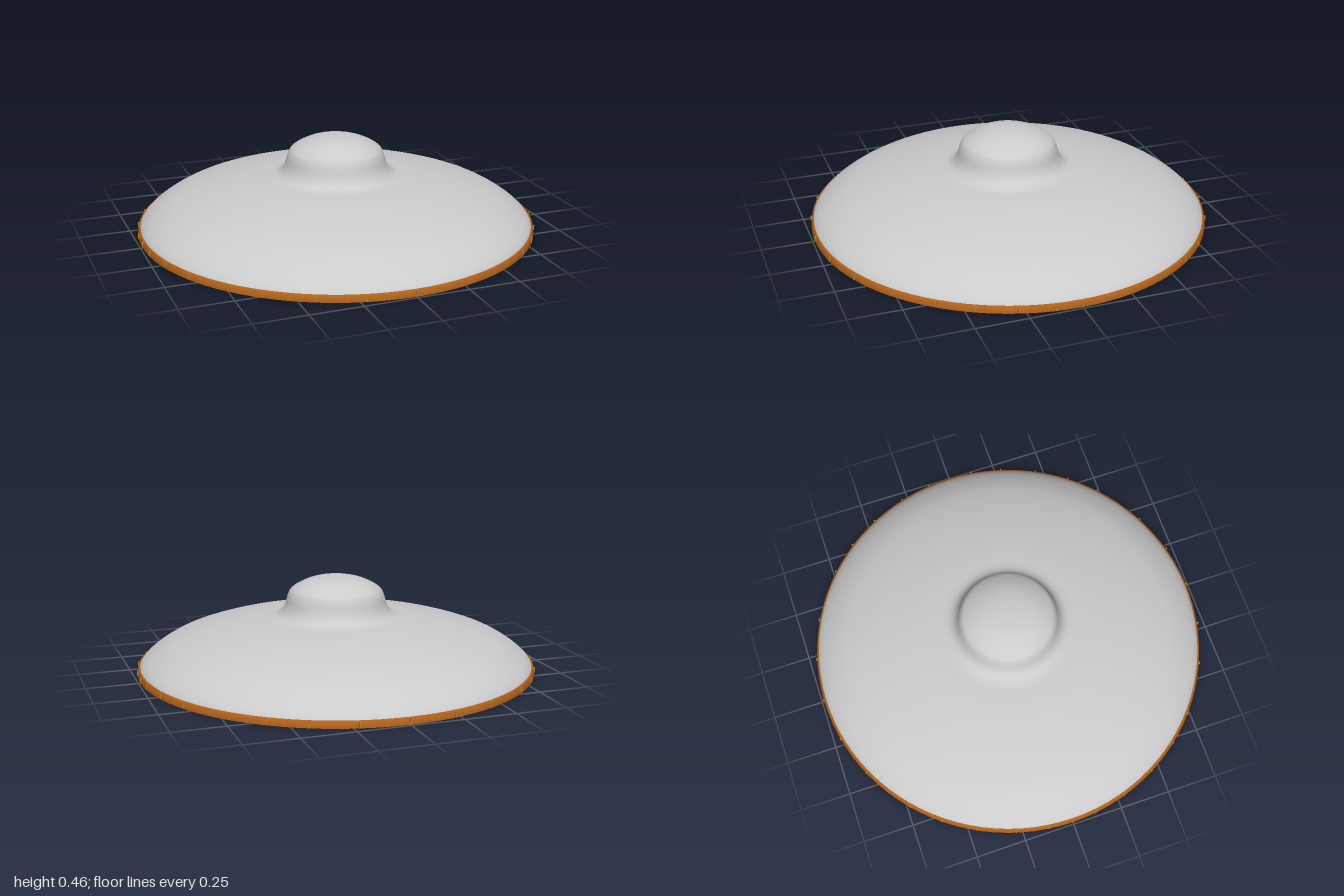
import * as THREE from 'three';

const SHADE_PROFILE = [
  [0.979, 0], [0.977, 0.03], [0.945, 0.068], [0.88, 0.115], [0.8, 0.155], [0.66, 0.2],
  [0.5, 0.236], [0.4, 0.252], [0.32, 0.261], [0.28, 0.279], [0.255, 0.315],
  [0.238, 0.37], [0.215, 0.402], [0.15, 0.437], [0.08, 0.456], [0, 0.462],
];

export function createModel() {
  const model = new THREE.Group();
  const grey = new THREE.MeshStandardMaterial({ color: 0xcccccc, side: THREE.DoubleSide });
  const copper = new THREE.MeshStandardMaterial({ color: 0xb8661c, side: THREE.DoubleSide });
  const brass = new THREE.MeshStandardMaterial({ color: 0xb08030 });

  const add = (parent, name, geometry, material) => {
    const mesh = new THREE.Mesh(geometry, material);
    mesh.name = name;
    parent.add(mesh);
    return mesh;
  };

  // Thin open shade: shallow bowl flaring out from a domed crown
  const curve = new THREE.SplineCurve(SHADE_PROFILE.map(([r, y]) => new THREE.Vector2(r, y)));
  const profile = curve.getPoints(60);
  profile.forEach((p) => { p.x = Math.max(0, p.x); p.y = Math.max(0, p.y); });
  add(model, 'shade', new THREE.LatheGeometry(profile, 96), grey);

  // Rim band: smooth outside, faceted inner face that just breaks through the shade
  const rim = new THREE.Group();
  rim.name = 'rim';
  model.add(rim);
  const outer = [[0.982, 0], [0.99, 0], [0.984, 0.032], [0.976, 0.032]]
    .map(([r, y]) => new THREE.Vector2(r, y));
  add(rim, 'rimBand', new THREE.LatheGeometry(outer, 96), copper);
  add(rim, 'rimLining', new THREE.CylinderGeometry(0.979, 0.982, 0.03, 28, 1, true), copper)
    .position.y = 0.016;

  // Small joints around the band, mirrored left to right and front to back
  const joint = new THREE.BoxGeometry(0.006, 0.026, 0.014);
  const angles = new Set();
  for (const a of [0, 13, 25.7, 42, 52, 62.5, 73.5, 83, 90]) {
    for (const b of [a, 360 - a, 180 - a, 180 + a]) angles.add(b % 360);
  }
  for (const degrees of angles) {
    const a = THREE.MathUtils.degToRad(degrees);
    const mesh = add(rim, 'rimJoint', joint, brass);
    mesh.position.set(0.986 * Math.sin(a), 0.016, 0.986 * Math.cos(a));
    mesh.rotation.y = a;
  }
  return model;
}
